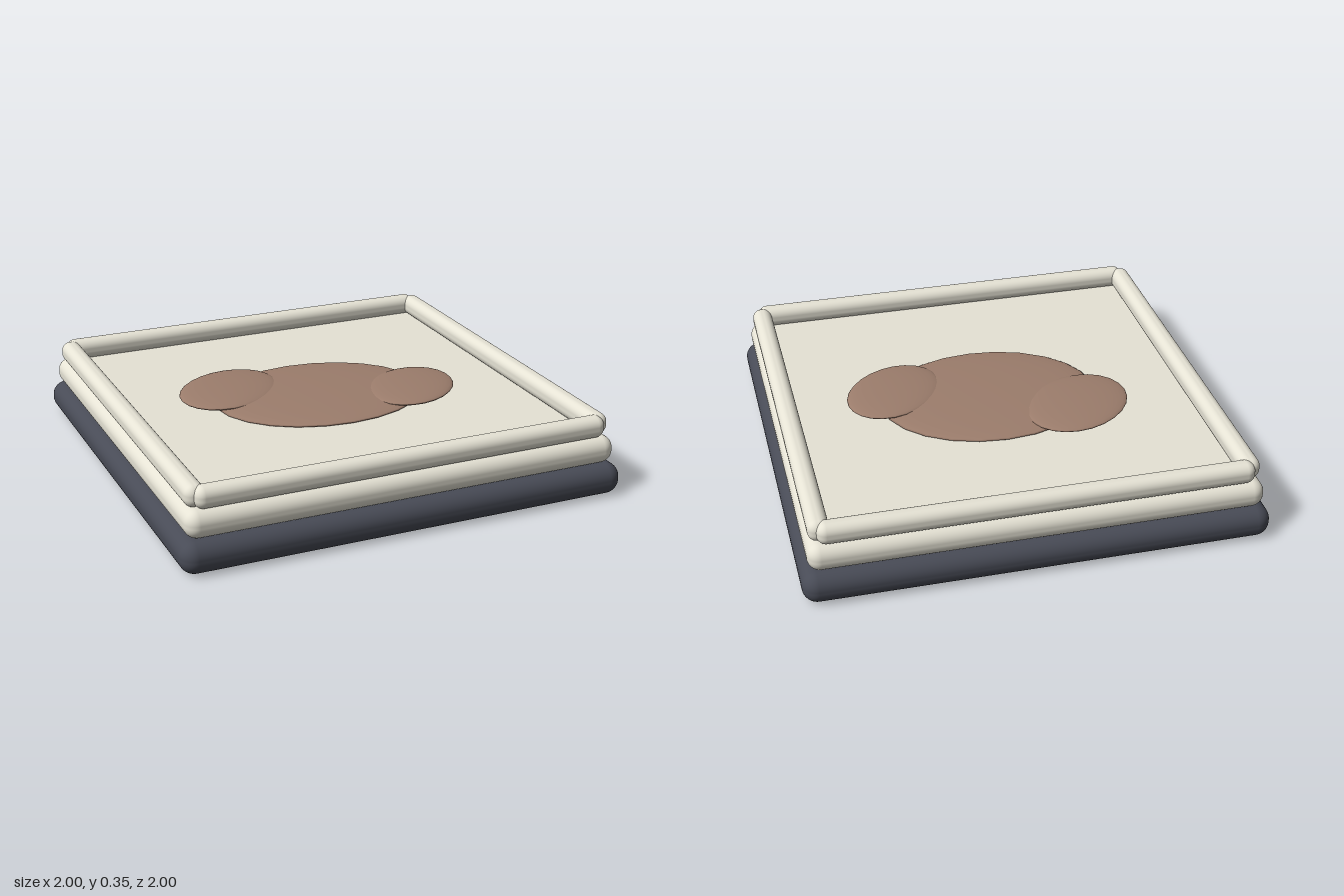
import * as THREE from 'three';
import { RoundedBoxGeometry } from 'three/addons/geometries/RoundedBoxGeometry.js';

export function createModel() {
  const model = new THREE.Group();
  model.name = 'framedTile';

  const dark = new THREE.MeshStandardMaterial({ color: 0x484b56 });
  const cream = new THREE.MeshStandardMaterial({ color: 0xe6e3d5 });
  const brown = new THREE.MeshStandardMaterial({ color: 0x9c7d6c });

  // Rounded slab resting on a given height
  function slab(name, w, h, d, radius, x, bottom, z, material) {
    const mesh = new THREE.Mesh(new RoundedBoxGeometry(w, h, d, 5, radius), material);
    mesh.name = name;
    mesh.position.set(x, bottom + h / 2, z);
    model.add(mesh);
  }

  // Stacked base and tray
  slab('base', 2, 0.14, 2, 0.065, 0, 0, 0, dark);
  slab('tray', 1.94, 0.122, 1.94, 0.055, 0, 0.14, 0, cream);

  // Four rails around the rim, crossing at the corners
  for (const s of [1, -1]) {
    slab(s > 0 ? 'frontRail' : 'backRail', 1.85, 0.095, 0.09, 0.04, 0, 0.26, s * 0.912, cream);
    slab(s > 0 ? 'leftRail' : 'rightRail', 0.09, 0.095, 1.85, 0.04, s * 0.912, 0.26, 0, cream);
  }

  // Puddle of three overlapping flattened domes
  function blob(name, x, y, z, rx, ry, rz, turn) {
    const mesh = new THREE.Mesh(new THREE.SphereGeometry(1, 24, 16), brown);
    mesh.name = name;
    mesh.position.set(x, y, z);
    mesh.scale.set(rx, ry, rz);
    mesh.rotation.y = turn;
    model.add(mesh);
  }
  blob('puddleCentre', 0, 0.268, 0, 0.49, 0.025, 0.382, 0);
  blob('puddleRight', -0.37, 0.281, -0.18, 0.266, 0.022, 0.206, 0.66);
  blob('puddleLeft', 0.412, 0.281, 0.11, 0.249, 0.022, 0.189, 0.75);

  return model;
}
